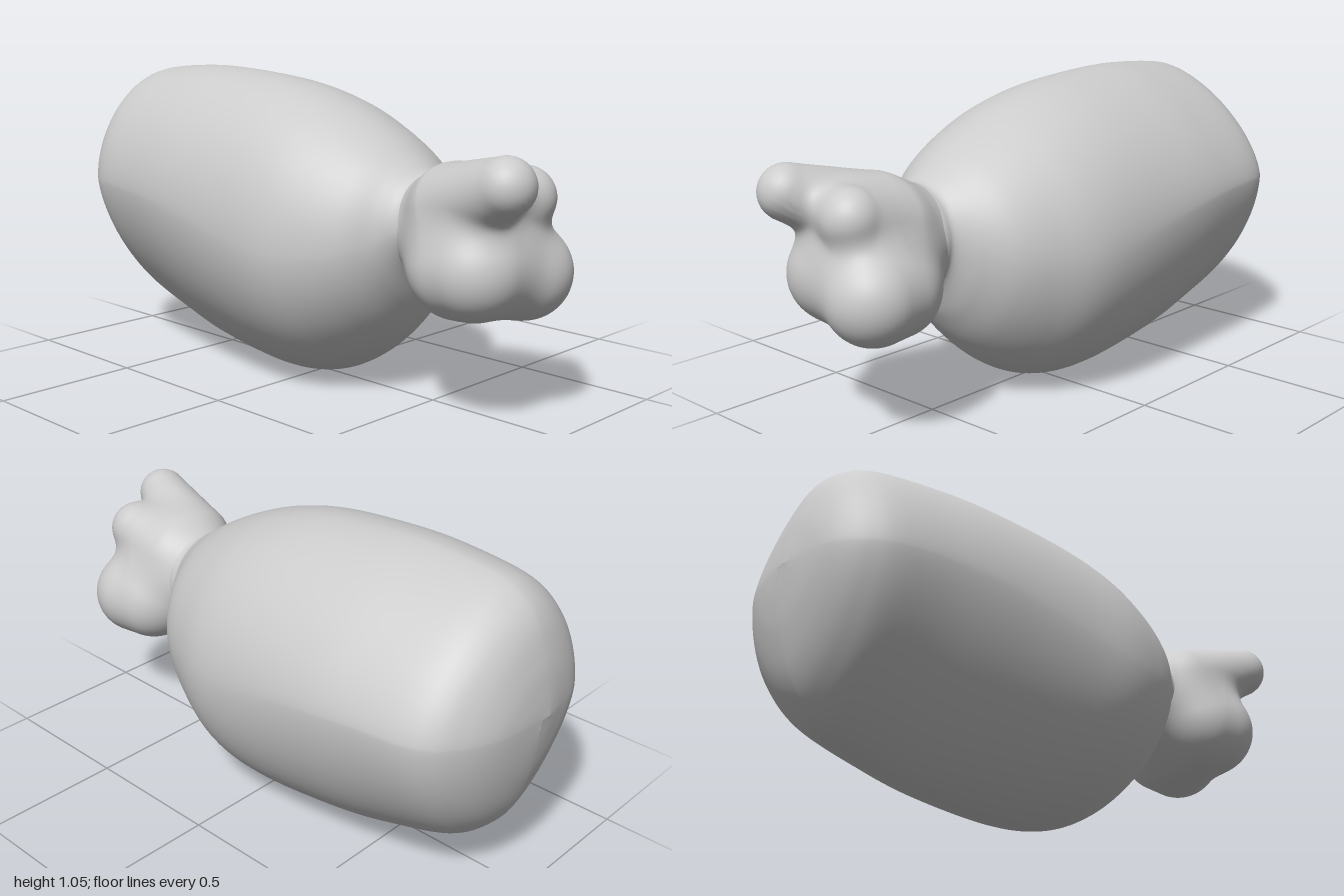
import * as THREE from 'three';
import { mergeVertices } from 'three/addons/utils/BufferGeometryUtils.js';

const material = new THREE.MeshStandardMaterial({ color: 0xcccccc });
const lerp = THREE.MathUtils.lerp;

// Body stations: x, bottom y, top y, back z, front z
const stations = [
  [-1, 0.63, 0.63, 0.04, 0.04], [-0.99, 0.52, 0.71, -0.1, 0.11],
  [-0.97, 0.41, 0.81, -0.2, 0.21], [-0.93, 0.29, 0.92, -0.29, 0.28],
  [-0.87, 0.2, 0.99, -0.365, 0.335], [-0.78, 0.13, 1.03, -0.405, 0.375],
  [-0.6, 0.07, 1.05, -0.425, 0.4], [-0.4, 0.025, 1.053, -0.435, 0.418],
  [-0.1, 0, 1.027, -0.428, 0.43], [0.1, 0.022, 0.98, -0.405, 0.428],
  [0.25, 0.093, 0.92, -0.35, 0.388], [0.37, 0.2, 0.855, -0.285, 0.325],
  [0.45, 0.315, 0.8, -0.2, 0.25], [0.5, 0.42, 0.767, -0.13, 0.207],
  [0.54, 0.43, 0.765, -0.12, 0.2], [0.62, 0.45, 0.74, -0.09, 0.18],
];

// Loft whose section goes from a soft diamond (left end) to an ellipse (neck)
function bodyGeometry() {
  const spline = (f) => new THREE.CatmullRomCurve3(
    stations.map((s) => new THREE.Vector3(...f(s))), false, 'catmullrom', 0.5);
  const high = spline((s) => [s[0], s[2], s[4]]);
  const low = spline((s) => [s[0], s[1], s[3]]);
  const rings = 120, sides = 96, pos = [], index = [];
  for (let i = 0; i <= rings; i++) {
    const a = high.getPoint(i / rings), b = low.getPoint(i / rings);
    const round = THREE.MathUtils.smoothstep(a.x, -0.75, 0.2);
    // ridges sit slightly off the middle of each section
    const yc = lerp(Math.min(0.63, a.y), (a.y + b.y) / 2, round);
    for (let j = 0; j < sides; j++) {
      const t = (j / sides) * Math.PI * 2, c = Math.cos(t), s = Math.sin(t);
      const zc = 0.02 + 0.02 * s;
      // squareness of each quarter at the left end and at the neck end
      const [end, neck] = s >= 0
        ? (c >= 0 ? [1.85, 2.03] : [1.5, 1.92])
        : (c >= 0 ? [1.5, 1.83] : [1.75, 1.93]);
      const e = 2 / lerp(end, neck, round);
      const y = Math.sign(s) * Math.abs(s) ** e, z = Math.sign(c) * Math.abs(c) ** e;
      pos.push(a.x, yc + y * (y > 0 ? a.y - yc : yc - b.y),
        zc + z * (z > 0 ? a.z - zc : zc - b.z));
      if (i < rings) {
        const p = i * sides + j, q = i * sides + (j + 1) % sides;
        index.push(p, p + sides, q + sides, p, q + sides, q);
      }
    }
  }
  const g = new THREE.BufferGeometry();
  g.setAttribute('position', new THREE.Float32BufferAttribute(pos, 3));
  g.setIndex(index);
  g.computeVertexNormals();
  return g;
}

// Knob lobes: start point, end point, start radius, end radius
const lobes = [
  [[0.665, 0.68, 0.11], [0.907, 0.78, 0.182], 0.14, 0.091],
  [[0.66, 0.665, 0.005], [0.825, 0.715, -0.02], 0.13, 0.1],
  [[0.7, 0.5, 0.135], [0.765, 0.505, 0.138], 0.152, 0.155],
  [[0.71, 0.475, -0.065], [0.795, 0.475, -0.07], 0.15, 0.155],
  [[0.52, 0.595, 0.04], [0.7, 0.545, 0.045], 0.155, 0.195],
].map(([a, b, ra, rb]) => ({ a: new THREE.Vector3(...a), d: new THREE.Vector3(...b).sub(new THREE.Vector3(...a)), ra, rb }));

// Smoothly blended distance to all lobes
const v = new THREE.Vector3();
function lobeDistance(p) {
  const k = 0.08;
  let result = 1;
  for (const { a, d, ra, rb } of lobes) {
    v.copy(p).sub(a);
    const t = THREE.MathUtils.clamp(v.dot(d) / d.lengthSq(), 0, 1);
    const dist = v.addScaledVector(d, -t).length() - lerp(ra, rb, t);
    const h = Math.max(k - Math.abs(result - dist), 0) / k;
    result = Math.min(result, dist) - h * h * k * 0.25;
  }
  return result;
}

// Sphere shrunk inward along its rays until it meets the lobes
function knobGeometry() {
  let g = new THREE.SphereGeometry(1, 120, 80);
  g.deleteAttribute('uv');
  g.deleteAttribute('normal');
  g = mergeVertices(g, 1e-5);
  const centre = new THREE.Vector3(0.71, 0.64, 0.08);
  const p = g.attributes.position, dir = new THREE.Vector3(), point = new THREE.Vector3();
  for (let i = 0; i < p.count; i++) {
    dir.fromBufferAttribute(p, i).normalize();
    let r = 0.5;
    for (let n = 0; n < 60; n++) {
      point.copy(centre).addScaledVector(dir, r);
      r -= lobeDistance(point) * 0.9;
    }
    point.copy(centre).addScaledVector(dir, r);
    p.setXYZ(i, point.x, point.y, point.z);
  }
  g.computeVertexNormals();
  return g;
}

export function createModel() {
  const group = new THREE.Group();
  group.name = 'lobedPod';
  const parts = { body: bodyGeometry(), lobedKnob: knobGeometry() };
  for (const [name, geometry] of Object.entries(parts)) {
    const mesh = new THREE.Mesh(geometry, material);
    mesh.name = name;
    group.add(mesh);
  }
  return group;
}
